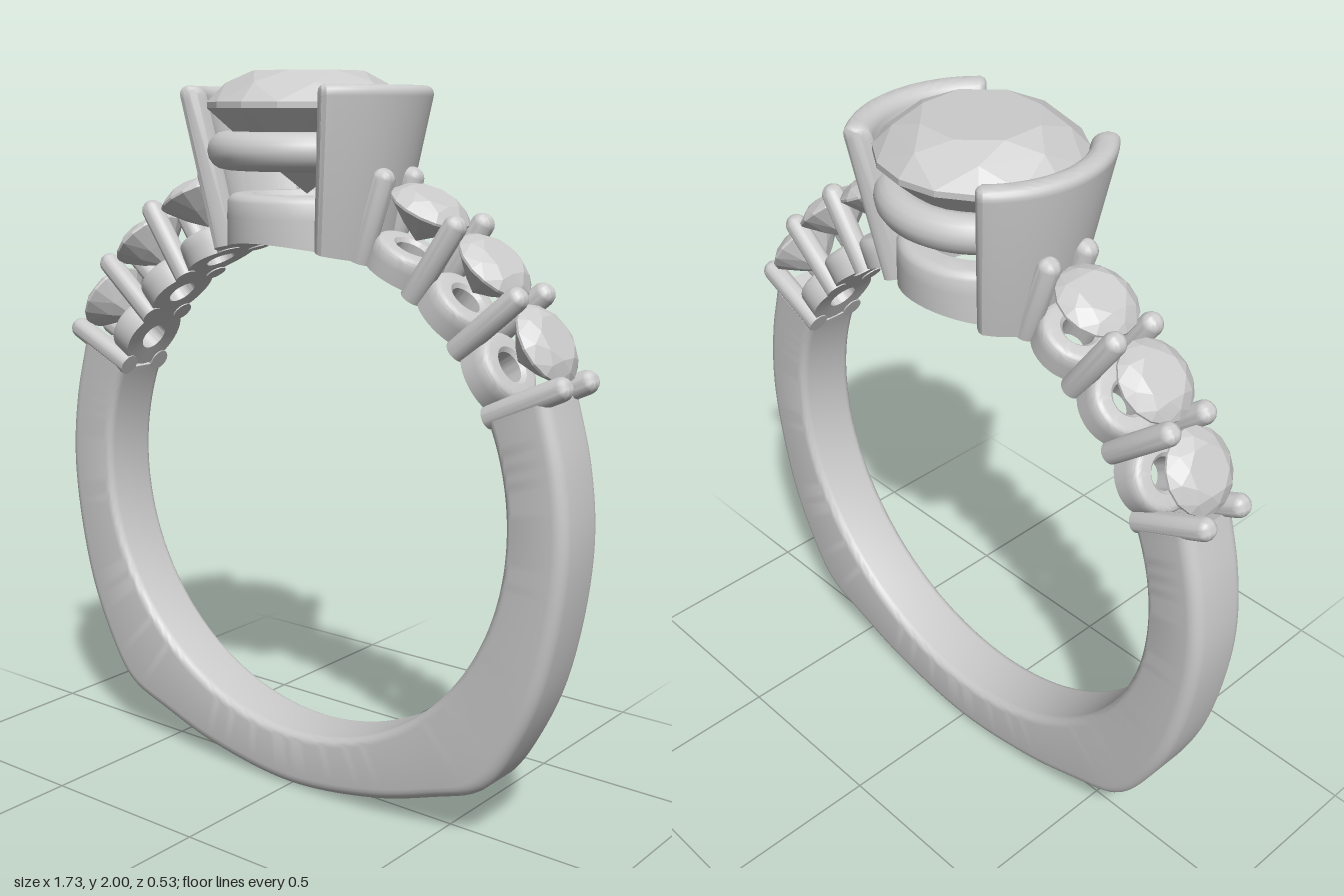
import * as THREE from 'three';
import { toCreasedNormals } from 'three/addons/utils/BufferGeometryUtils.js';
import { ConvexGeometry } from 'three/addons/geometries/ConvexGeometry.js';

const metal = new THREE.MeshStandardMaterial({ color: 0xcccccc });
const CENTRE_Y = 0.865; // centre of the finger hole
const BORE = 0.695; // radius of the finger hole
const rad = THREE.MathUtils.degToRad;
const boreY = (x) => Math.sqrt(BORE * BORE - x * x);

function part(name, geometry, crease = 0.6) {
  const mesh = new THREE.Mesh(toCreasedNormals(geometry, crease), metal);
  mesh.name = name;
  return mesh;
}

// Skin over equal-sized closed sections, capped at both ends
function loft(sections) {
  const n = sections[0].length, pts = sections.flat(), index = [];
  for (let i = 0; i < sections.length - 1; i++) {
    for (let j = 0; j < n; j++) {
      const a = i * n + j, b = i * n + (j + 1) % n;
      index.push(a, b, b + n, a, b + n, a + n);
    }
  }
  const last = (sections.length - 1) * n;
  for (let j = 1; j < n - 1; j++) index.push(0, j + 1, j, last, last + j, last + j + 1);
  // turn the faces outwards if the enclosed volume is negative
  let volume = 0;
  for (let i = 0; i < index.length; i += 3) {
    const [a, b, c] = [0, 1, 2].map((k) => pts[index[i + k]]);
    volume += a.dot(b.clone().cross(c));
  }
  if (volume < 0) index.reverse();
  const g = new THREE.BufferGeometry().setFromPoints(pts);
  g.setIndex(index);
  return g;
}

// Rounded rectangle as a loop of 2D points; corner radii low and high in u
function roundedLoop(u0, u1, v0, v1, rLow, rHigh, steps = 5) {
  const out = [];
  const corners = [[u0, v0, rLow, 1, 1], [u1, v0, rHigh, -1, 1], [u1, v1, rHigh, -1, -1], [u0, v1, rLow, 1, -1]];
  corners.forEach(([u, v, r, su, sv], c) => {
    for (let i = 0; i <= steps; i++) {
      const a = Math.PI * (1 + c / 2 + i / steps / 2);
      out.push(new THREE.Vector2(u + su * r + r * Math.cos(a), v + sv * r + r * Math.sin(a)));
    }
  });
  return out;
}

// Band: round inside, flared to two soft corners at the bottom
function shank() {
  const half = [[0.8, 1.22], [0.845, 1.05], [0.865, 0.87], [0.85, 0.68], [0.8, 0.46], [0.73, 0.3],
    [0.665, 0.195], [0.615, 0.152], [0.5, 0.108], [0.3, 0.045]];
  const all = [...half, [0, 0.005], ...half.map(([x, y]) => [-x, y]).reverse()];
  const curve = new THREE.CatmullRomCurve3(all.map(([x, y]) => new THREE.Vector3(x, y - CENTRE_Y, 0)), false, 'centripetal');
  const sections = curve.getSpacedPoints(140).map((p) => {
    const R = p.length(), dir = p.clone().normalize();
    return roundedLoop(BORE, R, -0.092, 0.092, 0.025, 0.035)
      .map((q) => new THREE.Vector3(dir.x * q.x, dir.y * q.x, q.y));
  });
  return part('shank', loft(sections), 0.9);
}

// Ring under a stone, its underside cut to the finger hole
function collar(name, rIn, rOut, top, round) {
  const low = 0.6;
  const profile = [[rIn, low], [rOut, low], [rOut, top - 2 * round]];
  for (let i = 1; i <= 5; i++) {
    const a = i / 5 * Math.PI / 2;
    profile.push([rOut - round + round * Math.cos(a), top - round + round * Math.sin(a)]);
  }
  profile.push([rIn + round * 0.5, top], [rIn, top - round * 0.5], [rIn, low]);
  const g = new THREE.LatheGeometry(profile.map(([x, y]) => new THREE.Vector2(x, y)), 48);
  const pos = g.attributes.position;
  for (let i = 0; i < pos.count; i++) {
    if (pos.getY(i) < low + 0.001) pos.setY(i, boreY(pos.getX(i)));
  }
  return part(name, g);
}

// Brilliant-cut stone, girdle at y = 0
function stone(name, scale) {
  const pts = [];
  const ring = (r, y, n, turn) => {
    for (let i = 0; i < n; i++) {
      const a = (i + turn) / n * Math.PI * 2;
      pts.push(new THREE.Vector3(r * Math.cos(a), y, r * Math.sin(a)));
    }
  };
  ring(0.155, 0.088, 8, 0.5);
  ring(0.215, 0.057, 8, 0);
  ring(0.265, 0.008, 16, 0);
  ring(0.265, -0.008, 16, 0);
  ring(0.14, -0.127, 8, 0.5);
  pts.push(new THREE.Vector3(0, -0.232, 0));
  const mesh = new THREE.Mesh(new ConvexGeometry(pts), metal);
  mesh.name = name;
  mesh.scale.setScalar(scale);
  return mesh;
}

// Flaring half-bezel wall holding the centre stone, on the side given by sign
function bezelWall(sign) {
  const top = 1.962 - CENTRE_Y, base = 0.66;
  const stops = [[-46, 0.022], [-45, 0.008], [-43, 0]];
  for (let a = -39; a <= 39; a += 3) stops.push([a, 0]);
  stops.push([43, 0], [45, 0.008], [46, 0.022]);
  const sections = stops.map(([deg, inset]) => {
    const c = Math.cos(rad(deg)), s = Math.sin(rad(deg));
    // u runs up the wall, v across its thickness
    const loop = roundedLoop(0, 1, 0, 1, 0, 0.4);
    return loop.map((q) => {
      const isBase = q.x < 0.001;
      const depth = isBase ? 1 : (1 - q.x) * 0.07; // keep the rounding near the rim
      const y = isBase ? base : top - inset * 0.5 - depth;
      const outer = 0.25 + (y - base) / (top - base) * 0.09;
      const r = outer - inset - (1 - q.y) * (0.07 - 2 * inset);
      const x = sign * r * c;
      return new THREE.Vector3(x, isBase ? boreY(x) : y, r * s);
    });
  });
  return part(sign > 0 ? 'leftBezelWall' : 'rightBezelWall', loft(sections));
}

// Round wire prong with a domed tip
function prong() {
  const r = 0.031, tip = 0.942;
  const profile = [[0, BORE - 0.004], [r, BORE - 0.004]];
  for (let i = 0; i <= 6; i++) {
    const a = i / 6 * Math.PI / 2;
    profile.push([r * Math.cos(a), tip - r + r * Math.sin(a)]);
  }
  return part('prong', new THREE.LatheGeometry(profile.map(([x, y]) => new THREE.Vector2(Math.max(x, 0), y)), 20));
}

export function createModel() {
  const ring = new THREE.Group();
  ring.name = 'ring';
  const body = new THREE.Group();
  body.name = 'ringBody';
  body.position.y = CENTRE_Y;
  ring.add(body);
  body.add(shank());

  // Centre setting
  const head = new THREE.Group();
  head.name = 'centreSetting';
  const centreStone = stone('centreStone', 1);
  centreStone.position.y = 1.912 - CENTRE_Y;
  const gallery = part('galleryRing', new THREE.TorusGeometry(0.216, 0.05, 16, 64).rotateX(Math.PI / 2));
  gallery.position.y = 1.795 - CENTRE_Y;
  head.add(centreStone, gallery, collar('baseRing', 0.13, 0.215, 0.818, 0.03), bezelWall(1), bezelWall(-1));
  body.add(head);

  // Shoulders: three small stones between four pairs of prongs on each side
  for (const sign of [1, -1]) {
    const shoulder = new THREE.Group();
    shoulder.name = sign > 0 ? 'leftShoulder' : 'rightShoulder';
    const spoke = (name, deg) => {
      const g = new THREE.Group();
      g.name = name;
      g.rotation.z = -sign * rad(90 - deg);
      shoulder.add(g);
      return g;
    };
    for (let i = 0; i < 4; i++) {
      const pair = spoke('prongPair', 25 + i * 15.3);
      for (const z of [0.064, -0.064]) {
        const p = prong();
        p.position.z = z;
        pair.add(p);
      }
    }
    for (let i = 0; i < 3; i++) {
      const setting = spoke('smallSetting', 32.65 + i * 15.3);
      const gem = stone('smallStone', 0.41);
      gem.position.y = 0.888;
      setting.add(gem, collar('stoneCollar', 0.042, 0.099, 0.775, 0.02));
    }
    body.add(shoulder);
  }
  return ring;
}
